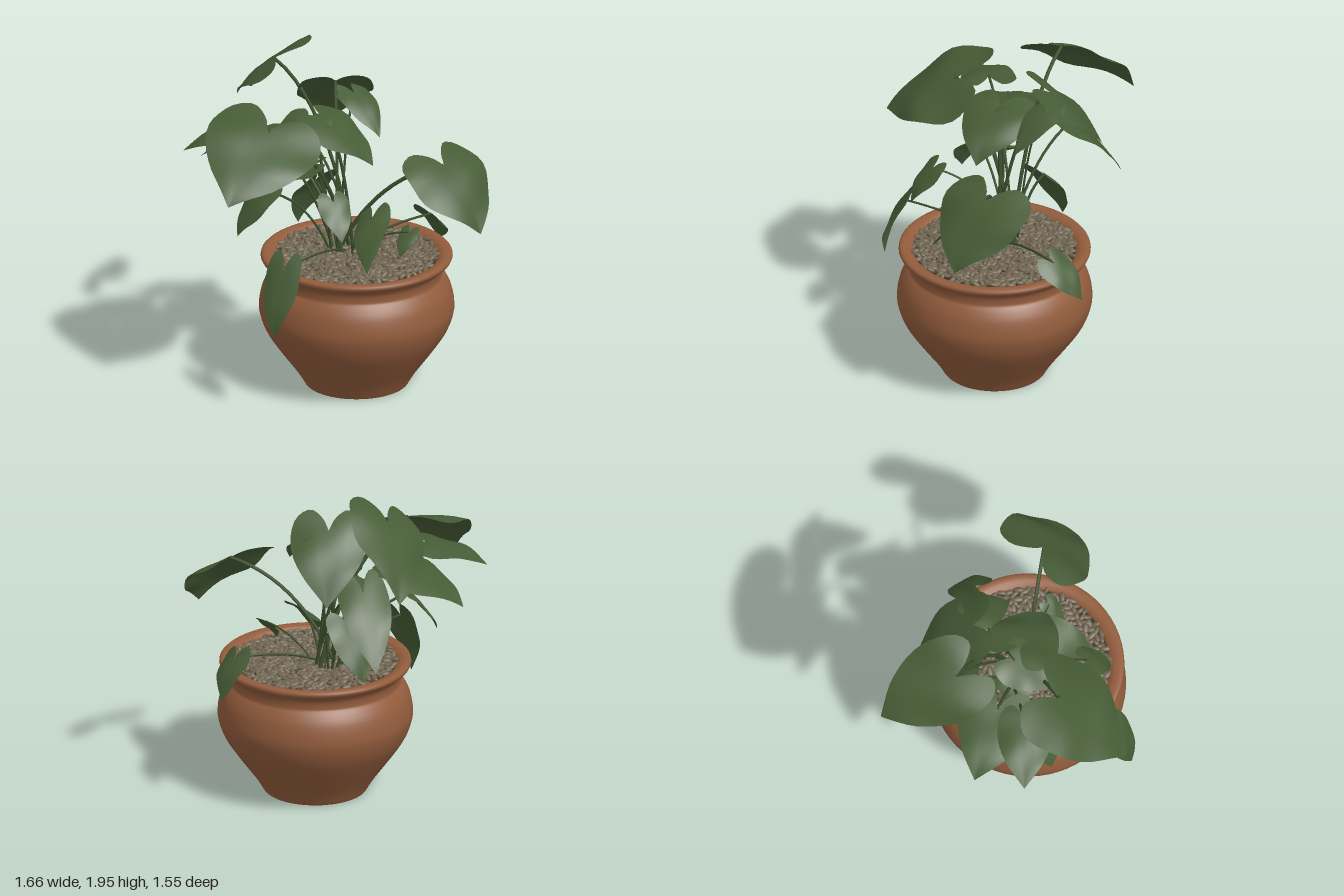
import * as THREE from 'three';
import { mergeGeometries } from 'three/addons/utils/BufferGeometryUtils.js';

const CX = 0.108, CZ = 0.22; // pot axis
const rad = THREE.MathUtils.degToRad;

// Leaves: joint x, y, z, heading (0 = front, 90 = left side), droop, length, width, roll
const LEAVES = [
  [-0.19, 1.83, -0.33, 176, 38, 0.56, 0.51, -31], // tall back
  [0.11, 1.72, -0.13, 165, 50, 0.47, 0.44],       // upper back
  [0.2, 1.66, -0.06, 18, 41, 0.31, 0.22],
  [-0.05, 1.6, 0.12, 41, 36, 0.39, 0.41],         // upper front
  [-0.13, 1.6, 0.06, -48, 24, 0.29, 0.3],
  [-0.44, 1.62, 0.22, -51, 35, 0.55, 0.66, -18],  // large on the right side
  [-0.33, 1.46, -0.12, -129, 26, 0.43, 0.42],
  [-0.5, 1.55, -0.01, -110, 20, 0.37, 0.32],
  [-0.05, 1.4, -0.32, 180, 50, 0.5, 0.3],         // lower back
  [0.55, 1.36, 0.47, 27, 51, 0.45, 0.58],         // large on the left side
  [-0.14, 1.24, 0.5, 0, 55, 0.24, 0.19],
  [0.15, 1.05, 0.36, -27, 42, 0.36, 0.22, 25],    // low front
  [-0.42, 1.2, 0.1, -83, 56, 0.3, 0.26],
  [-0.47, 0.88, 0.55, -49, 74, 0.39, 0.22],       // hanging over the rim
  [0.62, 0.9, 0.07, 142, 53, 0.27, 0.22, 25],
  [-0.01, 1.12, -0.14, -160, 64, 0.34, 0.28],     // low back
  [0.35, 0.96, 0.43, -53, 52, 0.16, 0.12],
  [-0.1, 1.31, 0.08, -115, 37, 0.23, 0.24],
];

// One half of the heart outline: x along the leaf, y out from the midrib
const HALF = new THREE.CatmullRomCurve3([
  [0, 0], [-0.17, 0.08], [-0.3, 0.24], [-0.2, 0.42], [0.05, 0.5], [0.35, 0.46],
  [0.62, 0.32], [0.85, 0.13], [1, 0],
].map(([u, v]) => new THREE.Vector3(u, v, 0)));

// Flat along +z with the joint at the origin; the leaf mesh is then turned into place
function leafGeometry(length, width, seed) {
  const rows = 22, half = 4, cols = half * 2 + 1, pos = [], index = [];
  for (let i = 0; i <= rows; i++) {
    const t = i / rows, edge = HALF.getPoint(t);
    const rib = Math.max(0, (t - 0.35) / 0.65);
    for (let k = -half; k <= half; k++) {
      const u = THREE.MathUtils.lerp(rib, edge.x, Math.abs(k) / half), v = edge.y * k / half;
      // arch lengthwise, droop at the margins, slight ripple
      const arch = length * 0.26 * u * (1 - u);
      const cup = width * (0.08 * Math.abs(v) - 0.45 * v * v);
      const ripple = width * 0.07 * v * Math.sin(u * 8 + seed * 2 + k * 0.3);
      pos.push(v * width, arch + cup + ripple, u * length);
    }
  }
  for (let i = 0; i < rows; i++) for (let k = 0; k < cols - 1; k++) {
    const a = i * cols + k, b = a + cols;
    index.push(a, b, a + 1, a + 1, b, b + 1);
  }
  const g = new THREE.BufferGeometry();
  g.setAttribute('position', new THREE.Float32BufferAttribute(pos, 3));
  g.setIndex(index);
  g.computeVertexNormals();
  return g;
}

// Arching stalk from the middle of the pot to a leaf joint
function stalkGeometry(end, radius, i) {
  const a = i * 2.4;
  const base = new THREE.Vector3(0.06 + 0.07 * Math.cos(a), 0.75, 0.13 + 0.07 * Math.sin(a));
  const bend = base.clone().lerp(end, 0.35);
  bend.y = Math.max(0.9, 0.75 + (end.y - 0.75) * 0.85);
  return new THREE.TubeGeometry(new THREE.QuadraticBezierCurve3(base, bend, end), 14, radius, 6);
}

function makeRandom(seed) {
  return () => (seed = (seed * 16807) % 2147483647) / 2147483647;
}

// Squashed stones scattered in a spiral over the soil
function pebbleGeometry() {
  const rnd = makeRandom(71), stones = [], count = 620;
  const m = new THREE.Matrix4(), q = new THREE.Quaternion();
  for (let i = 0; i < count; i++) {
    const r = 0.465 * Math.sqrt((i + 0.5) / count), a = i * 2.39996;
    const s = 0.8 + rnd() * 0.4;
    q.setFromEuler(new THREE.Euler((rnd() - 0.5) * 0.8, rnd() * Math.PI * 2, (rnd() - 0.5) * 0.8));
    m.compose(
      new THREE.Vector3(CX + r * Math.cos(a), 0.775 + rnd() * 0.012, CZ + r * Math.sin(a)), q,
      new THREE.Vector3(0.032 * s, 0.013 * s, 0.016 * s));
    stones.push(new THREE.IcosahedronGeometry(1, 1).applyMatrix4(m));
  }
  return mergeGeometries(stones);
}

function makeMaterial(name, color) {
  const material = new THREE.MeshStandardMaterial({ color });
  material.name = name;
  return material;
}

export function createModel() {
  const model = new THREE.Group();
  const terracotta = makeMaterial('terracotta', 0x925c3c);
  const leafGreen = makeMaterial('leaf green', 0x465c36);
  leafGreen.side = THREE.DoubleSide;
  const stalkGreen = makeMaterial('stalk green', 0x3c4e2c);
  const stone = makeMaterial('stone', 0x6f6450);
  const earth = makeMaterial('earth', 0x2e2921);
  const add = (name, geometry, material, parent = model) => {
    const mesh = new THREE.Mesh(geometry, material);
    mesh.name = name;
    parent.add(mesh);
    return mesh;
  };

  // Pot: rounded belly, narrow neck, flared lip and inner wall
  const toPoint = ([x, y]) => new THREE.Vector2(x, y);
  const belly = new THREE.SplineCurve([
    [0.3, 0.005], [0.345, 0.08], [0.44, 0.21], [0.52, 0.33], [0.557, 0.43],
    [0.56, 0.5], [0.543, 0.58], [0.515, 0.635], [0.495, 0.66],
  ].map(toPoint)).getPoints(28);
  const rim = [
    [0.49, 0.67], [0.49, 0.705], [0.502, 0.73], [0.525, 0.752], [0.546, 0.765], [0.552, 0.778],
    [0.55, 0.79], [0.542, 0.798], [0.525, 0.8], [0.5, 0.797], [0.475, 0.785], [0.462, 0.765], [0.46, 0.72],
  ].map(toPoint);
  const foot = [[0, 0], [0.295, 0]].map(toPoint);
  add('pot', new THREE.LatheGeometry([...foot, ...belly, ...rim], 64), terracotta).position.set(CX, 0, CZ);

  // Soil and gravel
  const soil = add('soil', new THREE.CircleGeometry(0.465, 48), earth);
  soil.rotation.x = -Math.PI / 2;
  soil.position.set(CX, 0.768, CZ);
  add('pebbles', pebbleGeometry(), stone);

  // Heart-shaped leaves on arching stalks
  const plant = new THREE.Group();
  plant.name = 'plant';
  model.add(plant);
  LEAVES.forEach(([x, y, z, heading, droop, length, width, roll = 0], i) => {
    const leaf = add('leaf' + (i + 1), leafGeometry(length, width, i), leafGreen, plant);
    leaf.position.set(x, y, z);
    leaf.rotation.set(rad(droop), rad(heading), rad(roll), 'YXZ');
    add('stalk' + (i + 1), stalkGeometry(leaf.position, 0.004 + 0.013 * width, i), stalkGreen, plant);
  });
  return model;
}
